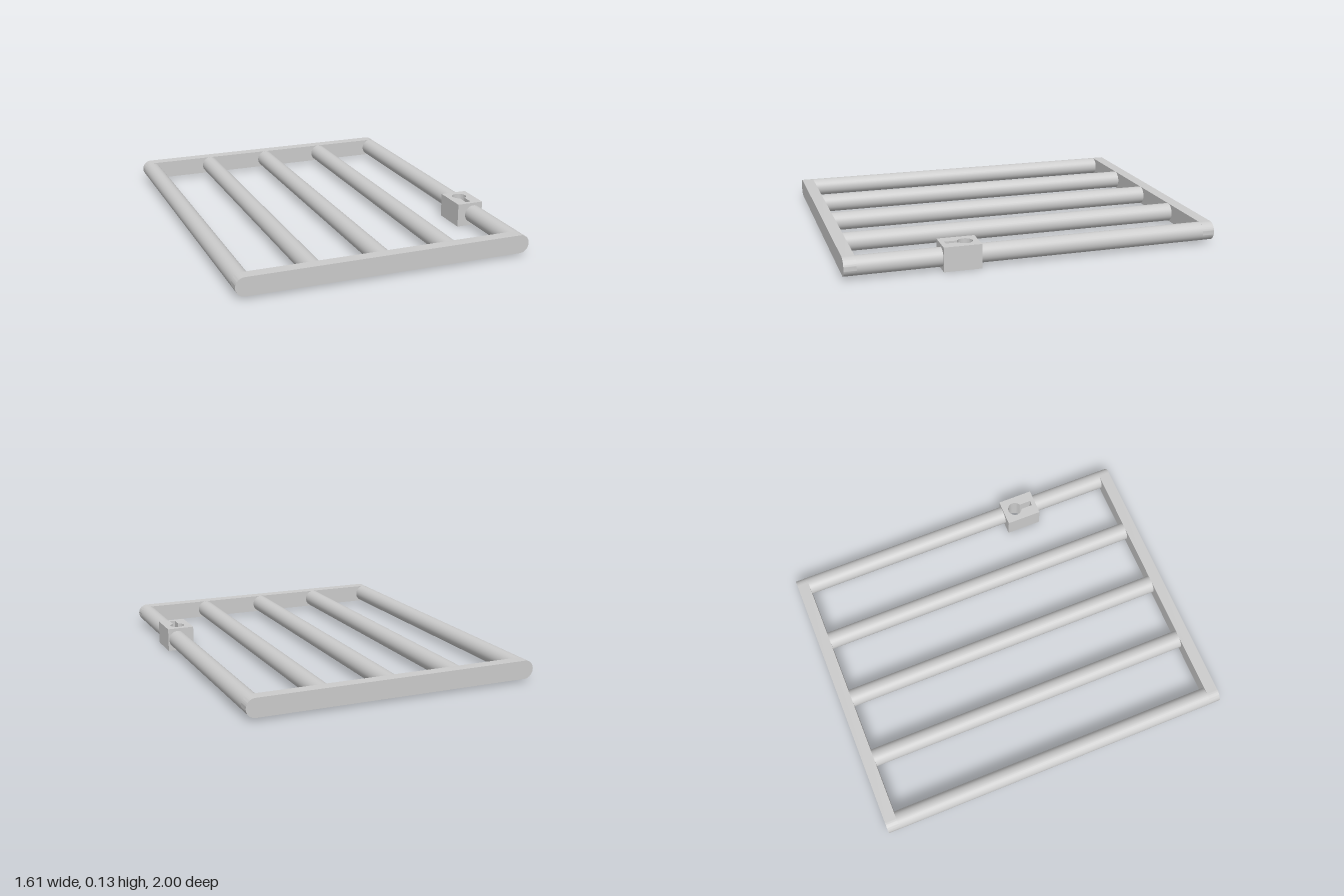
import * as THREE from 'three';
import { toCreasedNormals } from 'three/addons/utils/BufferGeometryUtils.js';

const MID_X = -0.003, MID_Y = 0.065, R = 0.05, RAIL = 0.065;

export function createModel() {
  const group = new THREE.Group();
  const material = new THREE.MeshStandardMaterial({ color: 0xcccccc });

  const add = (name, geometry, x, y, z) => {
    const mesh = new THREE.Mesh(geometry, material);
    mesh.name = name;
    mesh.position.set(x, y, z);
    group.add(mesh);
  };

  // Round bar running along z between two depths
  const addBar = (name, x, z0, z1) => {
    const bar = new THREE.CylinderGeometry(R, R, z1 - z0, 32).rotateX(Math.PI / 2);
    add(name, bar, x, MID_Y, (z0 + z1) / 2);
  };

  // Round-ended flat rails at the front and back
  const half = 0.75;
  const stadium = new THREE.Shape();
  stadium.moveTo(-half, -R);
  stadium.lineTo(half, -R);
  stadium.absarc(half, 0, R, -Math.PI / 2, Math.PI / 2, false);
  stadium.lineTo(-half, R);
  stadium.absarc(-half, 0, R, Math.PI / 2, Math.PI * 1.5, false);
  const rail = toCreasedNormals(
    new THREE.ExtrudeGeometry(stadium, { depth: RAIL, bevelEnabled: false, curveSegments: 16 }), 0.6);
  add('frontRail', rail, MID_X, MID_Y, 1 - RAIL);
  add('backRail', rail, MID_X, MID_Y, -1);

  // Evenly spaced bars; the last one is interrupted by the lock
  const end = 1 - RAIL;
  for (let i = 0; i < 4; i++) addBar('bar' + (i + 1), MID_X + (i - 2) * 0.375, -end, end);
  addBar('lockBarBack', MID_X + half, -end, 0.3);
  addBar('lockBarFront', MID_X + half, 0.5, end);

  // Lock block with a keyhole passing right through it
  const block = new THREE.Shape();
  block.moveTo(-0.075, -0.1);
  block.lineTo(0.075, -0.1);
  block.lineTo(0.075, 0.1);
  block.lineTo(-0.075, 0.1);
  block.closePath();
  const keyhole = new THREE.Path();
  const a = Math.asin(0.015 / 0.04);
  keyhole.moveTo(-0.015, -0.075);
  keyhole.lineTo(0.015, -0.075);
  keyhole.absarc(0, 0.03, 0.04, -Math.PI / 2 + a, Math.PI * 1.5 - a, false);
  keyhole.closePath();
  block.holes.push(keyhole);
  const lock = toCreasedNormals(
    new THREE.ExtrudeGeometry(block, { depth: 0.13, bevelEnabled: false, curveSegments: 32 }), 0.5);
  lock.rotateX(-Math.PI / 2);
  add('lockBlock', lock, 0.727, 0, 0.4);

  return group;
}
